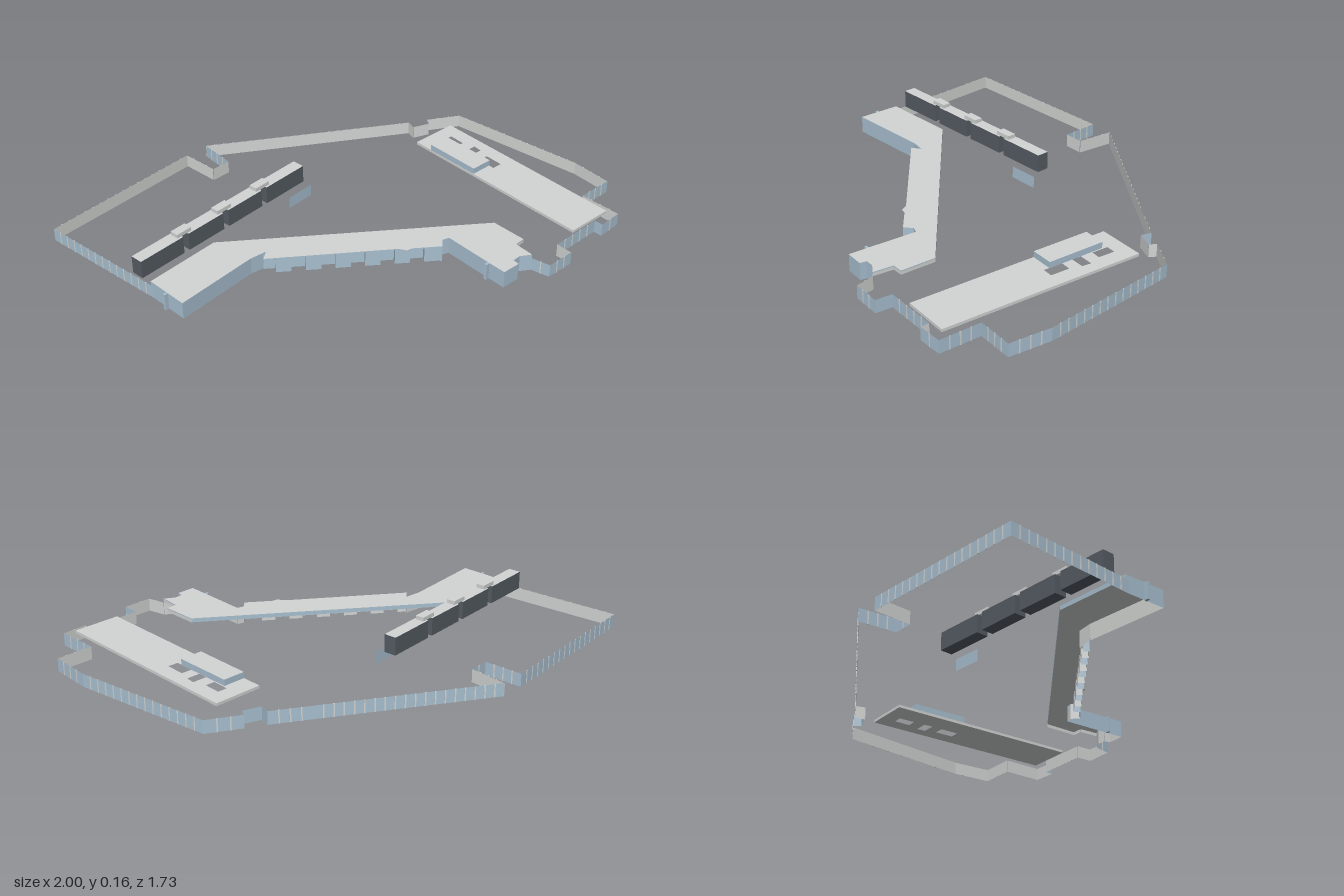
import * as THREE from 'three';
import { mergeGeometries } from 'three/addons/utils/BufferGeometryUtils.js';

const mat = (name, color, side = THREE.FrontSide) => {
  const m = new THREE.MeshStandardMaterial({ color, side });
  m.name = name;
  return m;
};

export function createModel() {
  const glass = mat('blue glass', 0xa8bfd0);
  const concrete = mat('light grey concrete', 0xd2d5d3);
  const dark = mat('dark cladding', 0x555c63);
  const panelGlass = mat('panel glass', 0xa8bfd0, THREE.DoubleSide);

  const model = new THREE.Group();
  model.name = 'buildingComplex';
  const add = (name, geo, material, parent = model) => {
    const mesh = new THREE.Mesh(geo, material);
    mesh.name = name;
    parent.add(mesh);
    return mesh;
  };

  // Upright prism from a plan outline of [x, z] points
  const slab = (pts, y0, y1, holes = []) => {
    const v = (p) => p.map(([x, z]) => new THREE.Vector2(x, -z));
    const shape = new THREE.Shape(v(pts));
    holes.forEach((h) => shape.holes.push(new THREE.Path(v(h))));
    const g = new THREE.ExtrudeGeometry(shape, { depth: y1 - y0, bevelEnabled: false });
    return g.rotateX(-Math.PI / 2).translate(0, y0, 0);
  };

  // Vertical sheet along a clockwise plan path; the inner lining sits just behind the outer skin
  const sheet = (pts, y0, y1, inward) => {
    const pos = [];
    for (let i = 0; i < pts.length - 1; i++) {
      const [p, q] = [pts[i], pts[i + 1]];
      const len = Math.hypot(q[0] - p[0], q[1] - p[1]);
      const gap = inward ? 0.002 / len : 0;
      const ox = -(q[1] - p[1]) * gap, oz = (q[0] - p[0]) * gap;
      const [a, b] = inward ? [p, q] : [q, p];
      const a0 = [a[0] + ox, y0, a[1] + oz], b0 = [b[0] + ox, y0, b[1] + oz];
      const a1 = [a0[0], y1, a0[2]], b1 = [b0[0], y1, b0[2]];
      pos.push(...a0, ...b0, ...b1, ...a0, ...b1, ...a1);
    }
    const g = new THREE.BufferGeometry();
    g.setAttribute('position', new THREE.Float32BufferAttribute(pos, 3));
    g.computeVertexNormals();
    return g;
  };
  const wall = (name, pts, y0, y1, outside) => {
    add(name + 'Outside', sheet(pts, y0, y1, false), outside);
    add(name + 'Inside', sheet(pts, y0, y1, true), concrete);
  };

  // Slim mullions spaced along a plan path
  const mullions = (name, pts, h, spacing) => {
    const bars = [];
    for (let i = 0; i < pts.length - 1; i++) {
      const [ax, az] = pts[i], [bx, bz] = pts[i + 1];
      const n = Math.floor(Math.hypot(bx - ax, bz - az) / spacing);
      for (let k = 1; k < n; k++) {
        const g = new THREE.BoxGeometry(0.006, h, 0.003);
        g.rotateY(-Math.atan2(bz - az, bx - ax));
        bars.push(g.translate(ax + ((bx - ax) * k) / n, h / 2, az + ((bz - az) * k) / n));
      }
    }
    add(name, mergeGeometries(bars), concrete);
  };

  // Perimeter facade
  const perimeter = [
    [-0.95, -0.2], [-1, -0.82], [-0.22, -0.865], [-0.21, -0.69], [-0.12, -0.69],
    [-0.105, -0.865], [0.565, -0.43], [0.72, -0.33], [0.705, -0.285], [0.78, -0.255],
    [0.8, -0.285], [0.94, -0.2], [1, 0.46], [0.98, 0.655], [0.81, 0.645], [0.805, 0.84],
    [0.69, 0.84], [0.69, 0.8], [0.44, 0.79], [0.435, 0.867], [0.3, 0.86], [0.285, 0.775],
  ];
  wall('perimeterFacade', perimeter, 0, 0.06, glass);
  mullions('facadeMullions', perimeter, 0.06, 0.042);

  // Angled building: thin roof
  const angledRoof = [
    [-0.95, -0.215], [-0.595, -0.235], [0.35, 0.515], [0.345, 0.68], [0.295, 0.68],
    [0.285, 0.775], [0.24, 0.745], [0.2, 0.745], [0.195, 0.775], [0.11, 0.77], [0.115, 0.68],
    [0.13, 0.45], [0.1, 0.44], [0.065, 0.47], [-0.035, 0.39], [-0.06, 0.385], [-0.08, 0.35],
    [-0.525, 0], [-0.485, -0.03], [-0.56, -0.04], [-0.95, -0.013],
  ];
  const eaves = 0.075;
  add('angledRoof', slab(angledRoof, eaves, 0.079), [concrete, glass]);

  // Fascias hanging on the open sides
  wall('courtFascia', angledRoof.slice(0, 3), 0.06, eaves, glass);
  wall('wingFascia', angledRoof.slice(2, 6), 0.06, eaves, concrete);

  // Outer wall with recessed bays under the eaves
  const bays = [];
  const from = [0.065, 0.47], to = [-0.525, 0], count = 6;
  for (let i = 0; i < count; i++) {
    [[0.08, 0.006], [0.6, 0.006], [0.6, 0.035], [1.08, 0.035]].forEach(([s, inset]) => {
      const t = Math.min((i + s) / count, 1);
      bays.push([
        from[0] + (to[0] - from[0]) * t + 0.62 * inset,
        from[1] + (to[1] - from[1]) * t - 0.78 * inset,
      ]);
    });
  }
  const wallPath = [...angledRoof.slice(5, 14), ...bays, ...angledRoof.slice(18), angledRoof[0]];
  wall('angledWall', wallPath, 0, eaves, glass);

  // Small wall fins at the two ends
  [[-0.957, -0.11], [0.107, 0.68]].forEach(([x, z]) => {
    add('wallFin', new THREE.BoxGeometry(0.02, 0.078, 0.012).translate(x, 0.039, z), glass);
  });

  // Long side roof with light wells and a rooftop block
  const rect = (x0, x1, z0, z1) => [[x0, z0], [x1, z0 + 0.004], [x1 - 0.006, z1 + 0.004], [x0 - 0.006, z1]];
  const sideRoof = [[0.602, -0.168], [0.825, -0.155], [0.77, 0.8], [0.55, 0.787]];
  const wells = [
    rect(0.708, 0.752, -0.09, -0.012), rect(0.697, 0.762, 0.045, 0.088), rect(0.69, 0.738, 0.14, 0.23),
  ];
  add('sideRoof', slab(sideRoof, 0.06, 0.073, wells), concrete);
  const block = [[0.597, -0.075], [0.7, -0.068], [0.688, 0.203], [0.583, 0.197]];
  add('rooftopBlock', slab(block, 0.073, 0.101), [concrete, glass]);

  // Raised bar block in four lengths, joined by roof caps
  const bar = new THREE.Group();
  bar.name = 'raisedBar';
  bar.position.set(-0.472, 0, -0.324);
  bar.rotation.y = Math.atan2(0.047, 0.95);
  model.add(bar);
  const gaps = [-0.231, 0, 0.231];
  const ends = [-0.478, ...gaps.flatMap((g) => [g - 0.015, g + 0.015]), 0.478];
  for (let i = 0; i < ends.length; i += 2) {
    const w = ends[i + 1] - ends[i], x = (ends[i] + ends[i + 1]) / 2;
    add('barBlock', new THREE.BoxGeometry(w, 0.083, 0.058).translate(x, 0.1045, 0),
      [dark, dark, concrete, dark, dark, dark], bar);
  }
  gaps.forEach((x) => {
    add('barRoofCap', new THREE.BoxGeometry(0.078, 0.018, 0.04).translate(x, 0.155, 0), concrete, bar);
  });

  // Free-standing glass panel in front of the bar
  add('glassPanel', new THREE.PlaneGeometry(0.14, 0.055).translate(0.42, 0.0275, 0.065), panelGlass, bar);

  return model;
}
